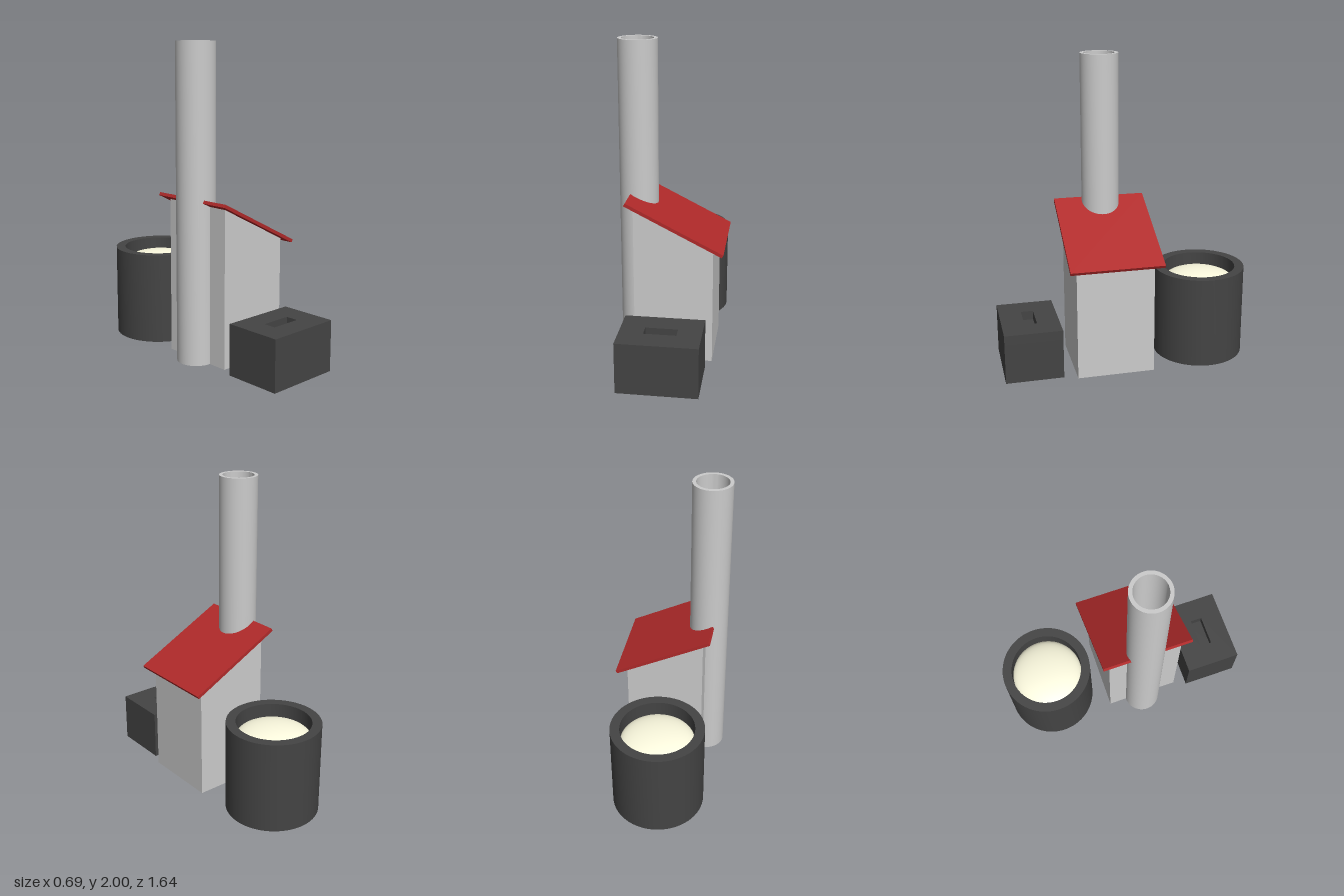
import * as THREE from 'three';
import { toCreasedNormals } from 'three/addons/utils/BufferGeometryUtils.js';

const paint = (color) => new THREE.MeshStandardMaterial({ color });
const grey = paint(0xcccccc);
const dark = paint(0x444444);
const red = paint(0xb02a2a);
const cream = paint(0xfdfbe0);

export function createModel() {
  const model = new THREE.Group();

  function add(name, geometry, material, x = 0, y = 0, z = 0) {
    const mesh = new THREE.Mesh(geometry, material);
    mesh.name = name;
    mesh.position.set(x, y, z);
    model.add(mesh);
    return mesh;
  }

  // Round solid from [radius, height] points, bottom to top, with crisp rims
  function turned(points) {
    const profile = points.map(([r, y]) => new THREE.Vector2(r, y));
    return toCreasedNormals(new THREE.LatheGeometry(profile, 64), 0.6);
  }

  // Polygon in x and y, extruded along +z
  function prism(points, depth) {
    const shape = new THREE.Shape(points.map(([x, y]) => new THREE.Vector2(x, y)));
    return new THREE.ExtrudeGeometry(shape, { depth, bevelEnabled: false });
  }

  // House body with a slanted top, under a thin single-pitch roof
  add('houseBody', prism([[-0.22, 0], [0.275, 0], [0.275, 0.763], [-0.22, 1.015]], 0.5), grey, 0, 0, -0.14);
  add('roof', prism([[-0.27, 1.031], [0.331, 0.727], [0.341, 0.745], [-0.26, 1.049]], 0.6), red, 0, 0, -0.192);

  // Tall chimney with a hollow top
  add('chimney', turned([[0, 0], [0.123, 0], [0.123, 2], [0.1, 2], [0.1, 1.2], [0, 1.2]]), grey, -0.222, 0, 0.105);

  // Round tank: recessed underneath, open at the top
  add('tank', turned([
    [0, 0.07], [0.237, 0.07], [0.237, 0], [0.298, 0],
    [0.298, 0.6], [0.237, 0.6], [0.237, 0.45], [0, 0.45],
  ]), dark, 0.002, 0, -0.521);

  // Low dome filling the tank
  const dome = add('tankFilling', new THREE.SphereGeometry(0.238, 48, 24), cream, 0.002, 0.49, -0.521);
  dome.scale.y = 0.3;

  // Front box: solid base topped by a frame that leaves a slot
  const slotDepth = 0.06, boxHeight = 0.327;
  const rectangle = (Type, w, h) => new Type([
    [-w, -h], [w, -h], [w, h], [-w, h],
  ].map(([x, y]) => new THREE.Vector2(x / 2, y / 2)));
  const outline = rectangle(THREE.Shape, 0.5, 0.372);
  outline.holes.push(rectangle(THREE.Path, 0.2, 0.08));
  const frame = new THREE.ExtrudeGeometry(outline, { depth: slotDepth, bevelEnabled: false });
  frame.rotateX(-Math.PI / 2);
  const baseHeight = boxHeight - slotDepth;
  add('boxBase', new THREE.BoxGeometry(0.5, baseHeight, 0.372), dark, -0.01, baseHeight / 2, 0.631);
  add('boxSlottedTop', frame, dark, -0.01, baseHeight, 0.631);

  return model;
}
